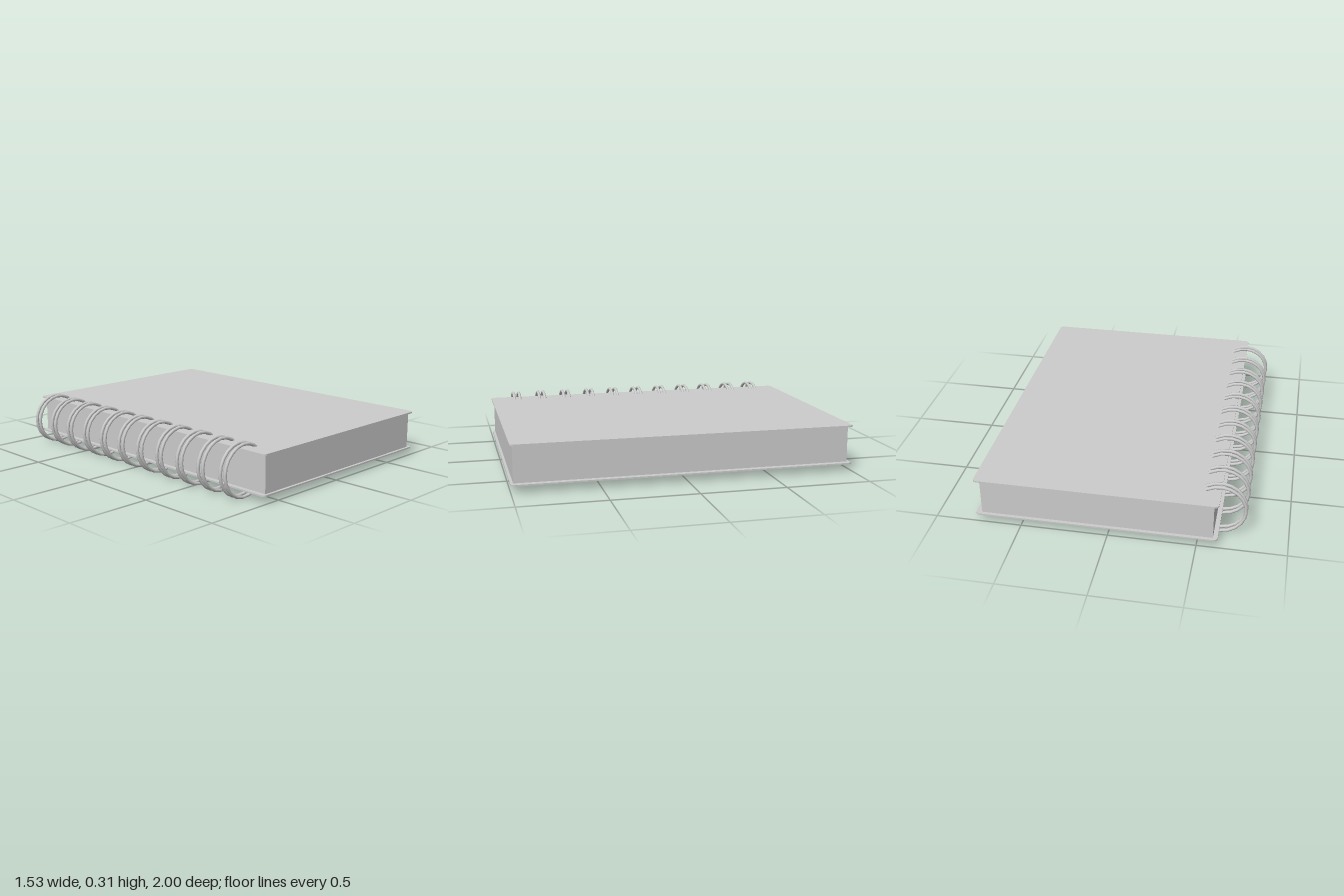
import * as THREE from 'three';

const grey = new THREE.MeshStandardMaterial({ color: 0xcccccc });

function addMesh(parent, name, geometry, x, y, z) {
  const mesh = new THREE.Mesh(geometry, grey);
  mesh.name = name;
  mesh.position.set(x, y, z);
  parent.add(mesh);
  return mesh;
}

// Thin lying board with rounded corners, its underside at y = 0
function boardGeometry(width, depth, thickness, r) {
  const w = width / 2, d = depth / 2;
  const s = new THREE.Shape();
  s.absarc(w - r, d - r, r, 0, Math.PI / 2);
  s.absarc(-w + r, d - r, r, Math.PI / 2, Math.PI);
  s.absarc(-w + r, -d + r, r, Math.PI, Math.PI * 1.5);
  s.absarc(w - r, -d + r, r, Math.PI * 1.5, Math.PI * 2);
  const geometry = new THREE.ExtrudeGeometry(s, { depth: thickness, bevelEnabled: false, curveSegments: 5 });
  return geometry.rotateX(-Math.PI / 2);
}

export function createModel() {
  const notebook = new THREE.Group();
  notebook.name = 'spiralNotebook';

  // Covers, overhanging the page block on every side
  const cover = boardGeometry(1.38, 2, 0.009, 0.022);
  addMesh(notebook, 'backCover', cover, 0.075, 0.043, 0);
  addMesh(notebook, 'frontCover', cover, 0.075, 0.268, 0);

  // Page block
  addMesh(notebook, 'pages', new THREE.BoxGeometry(1.32, 0.218, 1.965), 0.071, 0.16, 0.002);

  // Twin wire loops along the spine, their open ends buried in the pages
  const binding = new THREE.Group();
  binding.name = 'wireBinding';
  notebook.add(binding);
  const startAngle = THREE.MathUtils.degToRad(42);
  const wire = new THREE.TorusGeometry(0.147, 0.0095, 8, 16, Math.PI * 2 - startAngle * 2);
  wire.rotateZ(startAngle);
  const pairs = 11, spacing = 0.167;
  for (let i = 0; i < pairs; i++) {
    const z = (i - (pairs - 1) / 2) * spacing - 0.002;
    for (const side of [-1, 1]) {
      addMesh(binding, 'wireLoop', wire, -0.609, 0.158, z + side * 0.018);
    }
  }

  return notebook;
}
